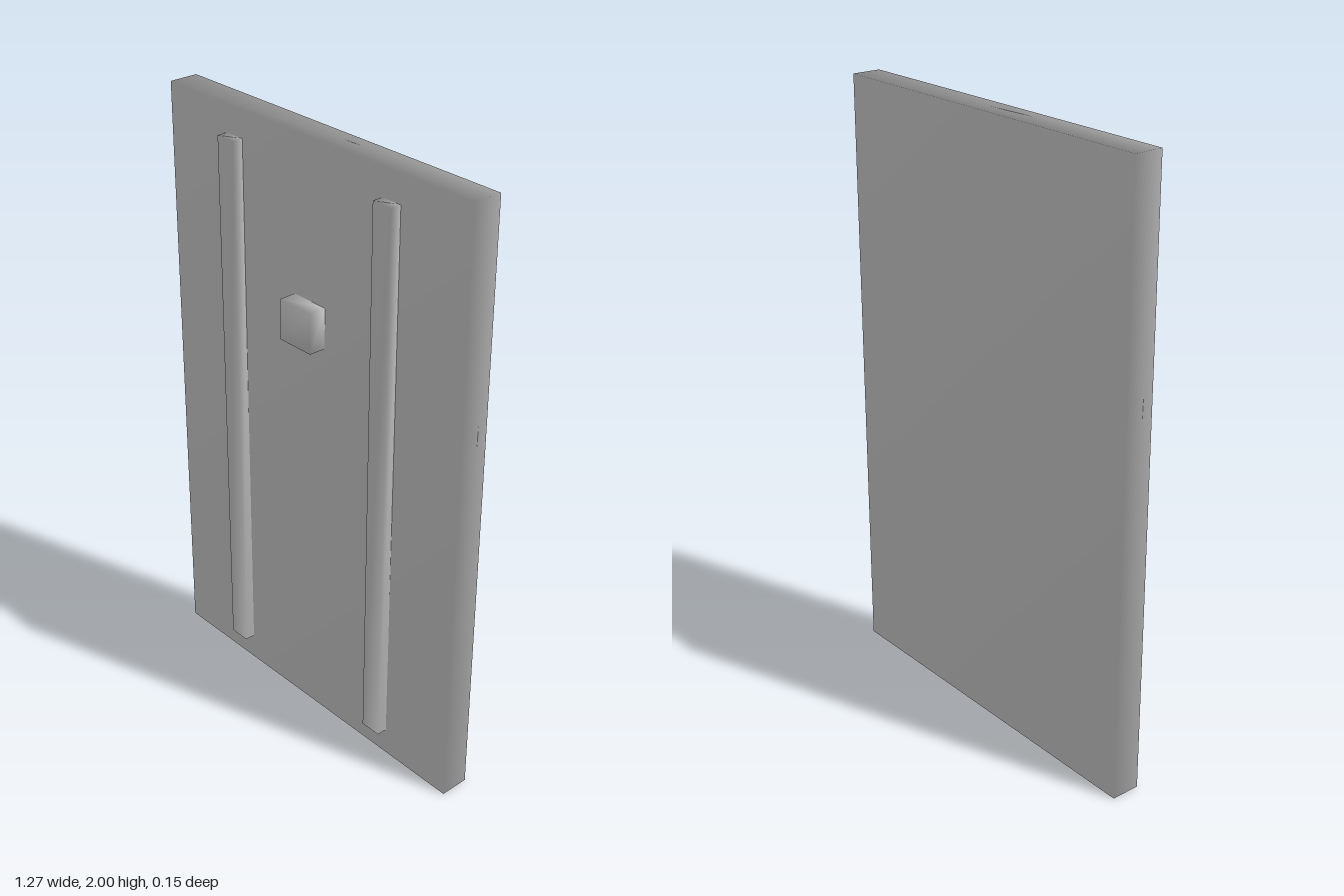
import * as THREE from 'three';
import { mergeVertices } from 'three/addons/utils/BufferGeometryUtils.js';

// Box from its bounds, with corners shared so the shading runs smoothly over the edges
function smoothBox(name, material, [x0, x1], [y0, y1], [z0, z1]) {
  const box = new THREE.BoxGeometry(x1 - x0, y1 - y0, z1 - z0);
  box.deleteAttribute('normal');
  box.deleteAttribute('uv');
  box.clearGroups();
  const geometry = mergeVertices(box);
  geometry.computeVertexNormals();
  const mesh = new THREE.Mesh(geometry, material);
  mesh.name = name;
  mesh.position.set((x0 + x1) / 2, (y0 + y1) / 2, (z0 + z1) / 2);
  return mesh;
}

export function createModel() {
  const group = new THREE.Group();
  group.name = 'doorPanel';
  const grey = new THREE.MeshStandardMaterial({ color: 0xc4c4c4 });
  grey.name = 'grey';

  // Main slab
  group.add(smoothBox('panel', grey, [-0.635, 0.635], [0, 2], [-0.077, 0.02]));

  // Two tall strips on the front
  for (const [name, x] of [['leftStrip', 0.333], ['rightStrip', -0.333]]) {
    group.add(smoothBox(name, grey, [x - 0.036, x + 0.036], [0.092, 1.91], [0.018, 0.055]));
  }

  // Square block between the strips
  group.add(smoothBox('squareBlock', grey, [-0.067, 0.067], [1.36, 1.493], [0.018, 0.077]));

  return group;
}
